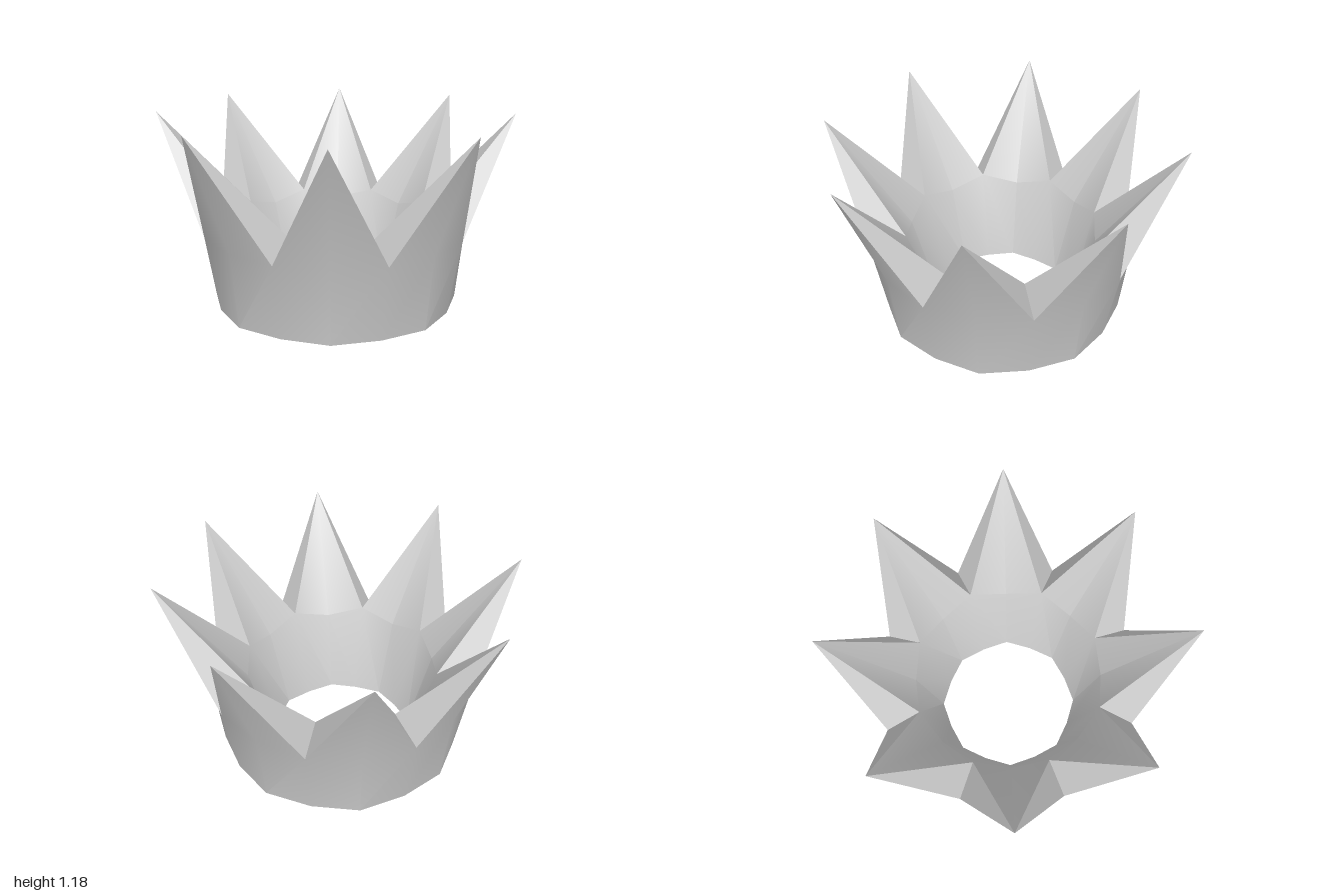
import * as THREE from 'three';
import { toCreasedNormals } from 'three/addons/utils/BufferGeometryUtils.js';

const COLUMNS = 16; // valleys and spikes alternate around the ring

// Cross-sections as closed [radius, height] loops:
// inner bottom, outer bottom, outer wall, tip, inner wall
const valley = [[0.425, 0], [0.74, 0.01], [0.82, 0.47], [0.82, 0.47], [0.6, 0.555]];
const spike = [[0.445, 0], [0.76, 0.01], [0.81, 0.47], [1.082, 1.18], [0.582, 0.5]];

function column(i) {
  const angle = (i % COLUMNS) * Math.PI * 2 / COLUMNS;
  return (i % 2 ? spike : valley).map(([r, y]) =>
    new THREE.Vector3(r * Math.sin(angle), y, r * Math.cos(angle)));
}

function crownGeometry() {
  const positions = [];
  const triangle = (a, b, c) => {
    if (a.equals(b) || b.equals(c) || c.equals(a)) return;
    for (const p of [a, b, c]) positions.push(p.x, p.y, p.z);
  };
  for (let i = 0; i < COLUMNS; i++) {
    const a = column(i), b = column(i + 1);
    for (let k = 0; k < 5; k++) {
      const n = (k + 1) % 5;
      // the ridge always runs from a spike tip to the inner valley
      const flip = k === 4 || (k === 3 && i % 2 === 0);
      if (flip) {
        triangle(a[k], b[k], a[n]);
        triangle(b[k], b[n], a[n]);
      } else {
        triangle(a[k], b[k], b[n]);
        triangle(a[k], b[n], a[n]);
      }
    }
  }
  const geometry = new THREE.BufferGeometry();
  geometry.setAttribute('position', new THREE.Float32BufferAttribute(positions, 3));
  return toCreasedNormals(geometry, THREE.MathUtils.degToRad(30));
}

export function createModel() {
  const group = new THREE.Group();
  group.name = 'spikedCrown';
  // thick ring with eight outward-leaning spikes
  const crown = new THREE.Mesh(crownGeometry(), new THREE.MeshStandardMaterial({ color: 0xcccccc }));
  crown.name = 'crownRing';
  group.add(crown);
  return group;
}
